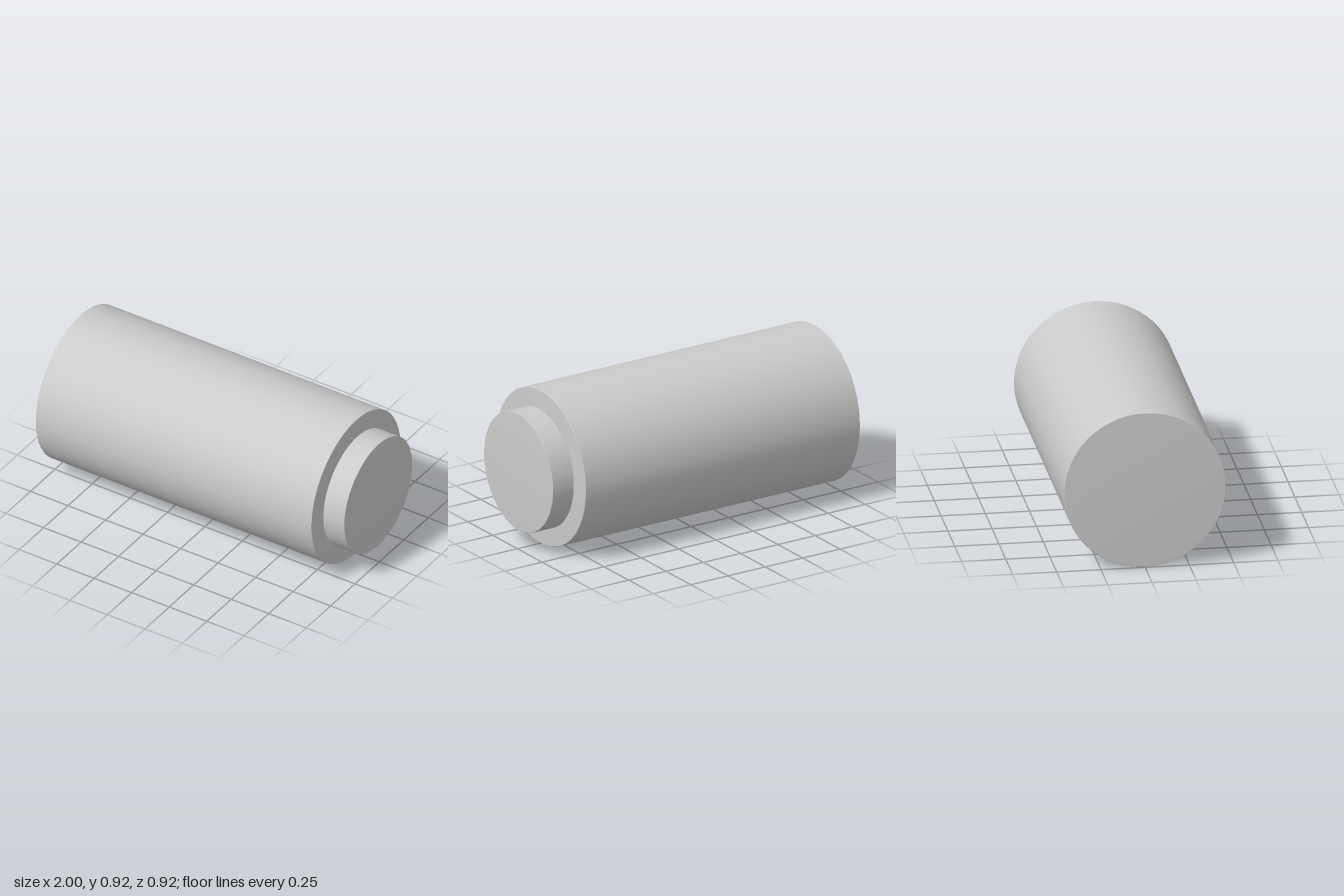
import * as THREE from 'three';
import { toCreasedNormals } from 'three/addons/utils/BufferGeometryUtils.js';

const SEGMENTS = 64;
const material = new THREE.MeshStandardMaterial({ color: 0xcccccc });

// Solid cylinder along x with very slightly domed end faces
function barrel(name, radius, x0, x1, dome) {
  const profile = [
    [0, x0], [radius * 0.7, x0 + dome * 0.3], [radius - 0.002, x0 + dome], [radius, x0 + dome + 0.002],
    [radius, x1 - dome - 0.002], [radius - 0.002, x1 - dome], [radius * 0.7, x1 - dome * 0.3], [0, x1],
  ].map(([r, x]) => new THREE.Vector2(r, x));
  const geometry = new THREE.LatheGeometry(profile, SEGMENTS);
  geometry.rotateZ(-Math.PI / 2);
  const mesh = new THREE.Mesh(toCreasedNormals(geometry, Math.PI / 6), material);
  mesh.name = name;
  mesh.position.y = 0.46;
  return mesh;
}

export function createModel() {
  const group = new THREE.Group();
  group.name = 'steppedCylinder';
  // Main body
  group.add(barrel('body', 0.458, -1, 0.852, 0.007));
  // Narrower end cap
  group.add(barrel('endCap', 0.349, 0.845, 1, 0.007));
  group.position.y = -0.002;
  return group;
}
